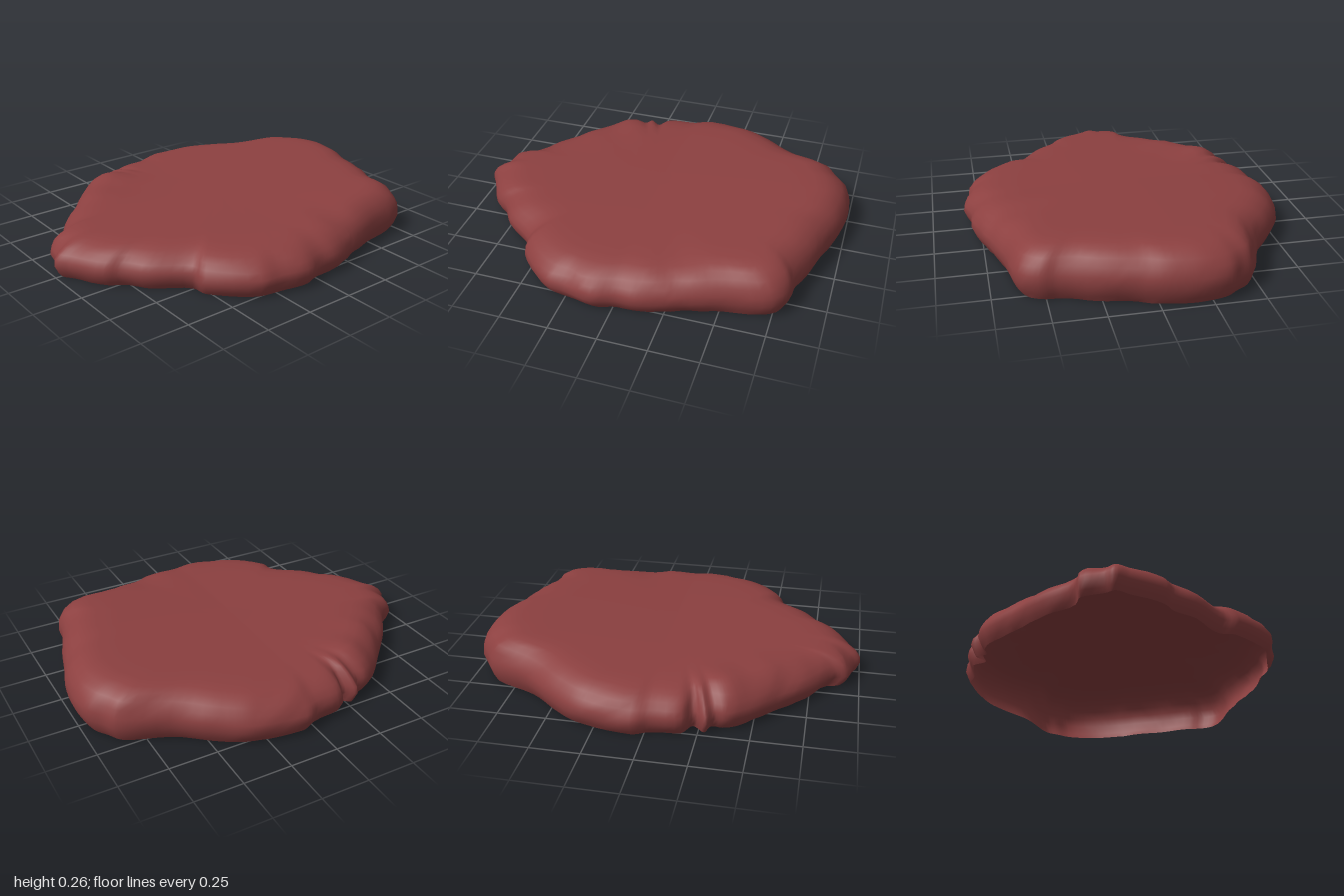
import * as THREE from 'three';

// Widest outline of the slab as x, z pairs, from the right tip round by the front
const OUTLINE = [
  -1, 0, -0.96, 0.07, -0.87, 0.23, -0.8, 0.28, -0.72, 0.39, -0.56, 0.52, -0.54, 0.6,
  -0.35, 0.78, -0.24, 0.8, -0.1, 0.83, 0.02, 0.8, 0.12, 0.8, 0.26, 0.76, 0.38, 0.72,
  0.55, 0.67, 0.75, 0.63, 0.82, 0.54, 0.83, 0.45, 0.89, 0.28, 0.94, 0.1, 0.98, -0.03,
  1, -0.2, 0.98, -0.33, 0.93, -0.4, 0.88, -0.47, 0.66, -0.57, 0.5, -0.69, 0.38, -0.77,
  0.3, -0.8, 0.06, -0.835, -0.03, -0.8, -0.18, -0.78, -0.23, -0.71, -0.29, -0.75,
  -0.32, -0.7, -0.38, -0.7, -0.45, -0.66, -0.6, -0.51, -0.76, -0.34, -0.87, -0.19,
  -0.94, -0.16, -0.97, -0.05,
];

// Edge profile: [share of the top height, inset from the outline]
const EDGE = [
  [0, 0.03], [0.12, 0.015], [0.32, 0], [0.5, 0.003], [0.66, 0.02],
  [0.8, 0.05], [0.9, 0.09], [0.96, 0.13], [1, 0.19],
];
const INNER = [0.85, 0.65, 0.4, 0.18]; // rings of the flat top, as shares of the rim
const SEGMENTS = 168;

const bump = (x, z, cx, cz, w) => Math.exp(-((x - cx) ** 2 + (z - cz) ** 2) / (w * w));

// Height of the top: rises to the left, falls to front and back, low ridge behind
function topHeight(x, z) {
  const slope = x > 0 ? 0.062 * x : 0.03 * x;
  return 0.215 + slope - 0.025 * z * z
    + 0.035 * bump(x, z, -0.36, -0.58, 0.12)
    + 0.02 * bump(x, z, -0.55, -0.42, 0.13)
    - 0.012 * bump(x, z, 0.28, 0.6, 0.1);
}

// Shallow uneven dents along the edge
function dent(x, y, z) {
  return 0.012 * Math.sin(9 * x + 14 * y + 2) * Math.sin(8 * z - 11 * y)
    + 0.006 * Math.sin(21 * x - 17 * z + 30 * y);
}

function slabGeometry() {
  const points = [];
  for (let i = 0; i < OUTLINE.length; i += 2) {
    points.push(new THREE.Vector3(OUTLINE[i], 0, OUTLINE[i + 1]));
  }
  const curve = new THREE.CatmullRomCurve3(points, true, 'centripetal');
  const positions = [];
  const rings = EDGE.length + INNER.length;

  for (let j = 0; j < rings; j++) {
    for (let i = 0; i < SEGMENTS; i++) {
      const p = curve.getPoint(i / SEGMENTS);
      const r = Math.hypot(p.x, p.z);
      const [share, inset] = EDGE[Math.min(j, EDGE.length - 1)];
      // Dents fade out at the widest line so the outline stays true
      const depth = inset + Math.abs(dent(p.x, share * 0.22, p.z)) * Math.min(1, Math.abs(share - 0.32) * 2.5);
      let k = 1 - depth / r;
      if (j >= EDGE.length) k *= INNER[j - EDGE.length];
      const x = p.x * k, z = p.z * k;
      positions.push(x, share * topHeight(x, z), z);
    }
  }
  positions.push(0, topHeight(0, 0), 0);

  // Skin between neighbouring rings, then a fan at the centre; the underside is open
  const index = [];
  for (let i = 0; i < SEGMENTS; i++) {
    const n = (i + 1) % SEGMENTS;
    for (let j = 0; j < rings - 1; j++) {
      const a = j * SEGMENTS + i, b = j * SEGMENTS + n;
      index.push(a, b, b + SEGMENTS, a, b + SEGMENTS, a + SEGMENTS);
    }
    const last = (rings - 1) * SEGMENTS;
    index.push(last + i, last + n, rings * SEGMENTS);
  }
  const geometry = new THREE.BufferGeometry();
  geometry.setAttribute('position', new THREE.Float32BufferAttribute(positions, 3));
  geometry.setIndex(index);
  geometry.computeVertexNormals();
  return geometry;
}

export function createModel() {
  const group = new THREE.Group();
  group.name = 'flatRock';
  const material = new THREE.MeshStandardMaterial({ color: 0x8c4040, side: THREE.DoubleSide });
  const slab = new THREE.Mesh(slabGeometry(), material);
  slab.name = 'rockSlab';
  group.add(slab);
  return group;
}
